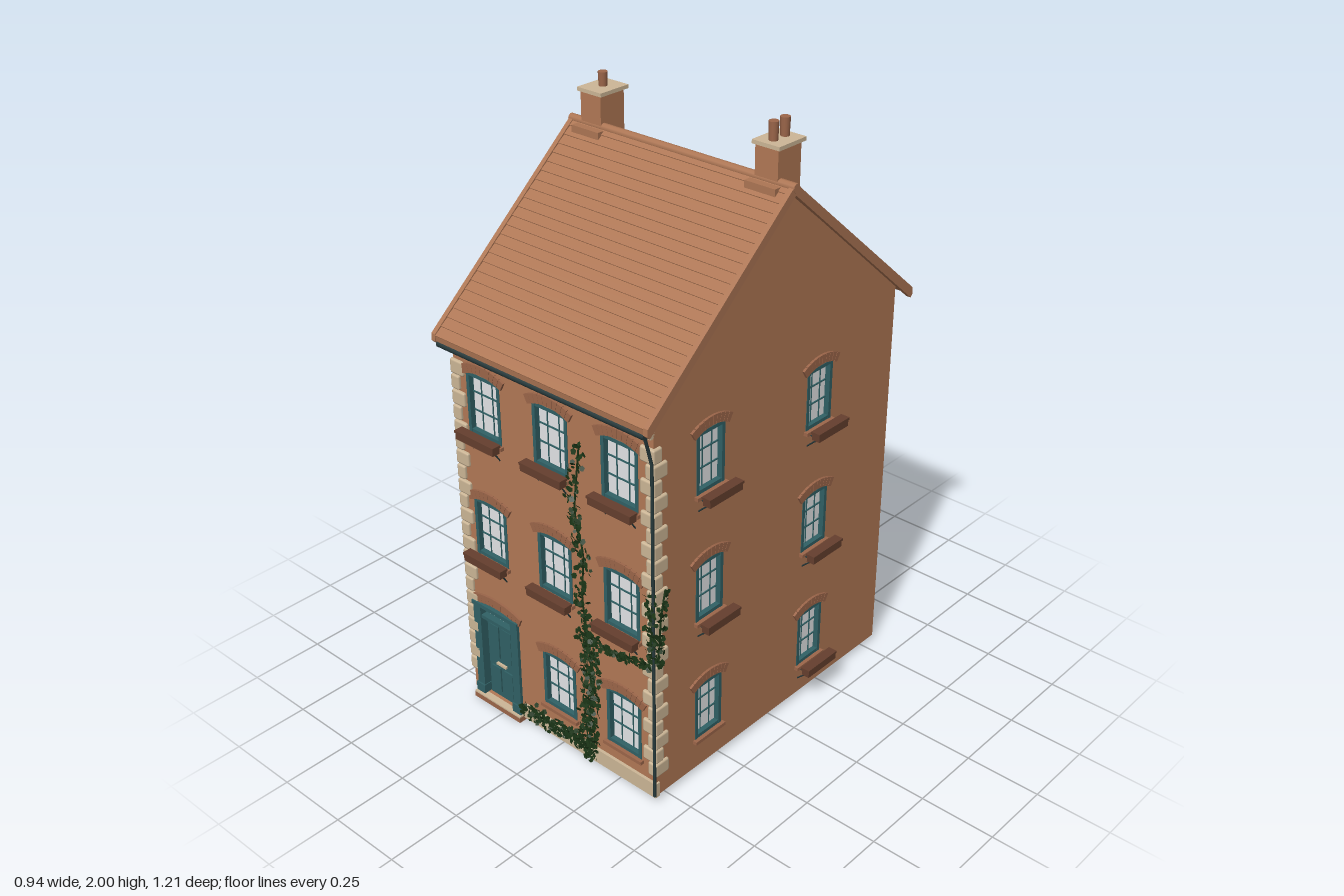
import * as THREE from 'three';
import { mergeGeometries } from 'three/addons/utils/BufferGeometryUtils.js';
import { RoundedBoxGeometry } from 'three/addons/geometries/RoundedBoxGeometry.js';

const paint = (name, color, side = THREE.FrontSide) => {
  const m = new THREE.MeshStandardMaterial({ color, side });
  m.name = name;
  return m;
};
const M = {
  brick: paint('brick', 0xb27855),
  tile: paint('roof tile', 0xad7654),
  arch: paint('arch brick', 0x9c664a),
  stone: paint('cream stone', 0xcdb797),
  teal: paint('teal paint', 0x306165),
  glass: paint('window glass', 0xe4e5e7),
  wood: paint('planter wood', 0x653f2e),
  iron: paint('dark iron', 0x26393b),
  ivy: paint('ivy green', 0x1a3416, THREE.DoubleSide),
};

// House half sizes and heights
const HX = 0.405, HZ = 0.55, WALL = 0.04, BASE = 0.02, EAVE = 1.352, APEX = 1.82;
const ROWS = [0.13, 0.571, 1.009];

function mesh(parent, name, geometry, material) {
  const m = new THREE.Mesh(geometry, material);
  m.name = name;
  parent.add(m);
  return m;
}
// Box from its minimum and maximum corners
function span(parent, name, mat, x0, x1, y0, y1, z0, z1) {
  const m = mesh(parent, name, new THREE.BoxGeometry(x1 - x0, y1 - y0, z1 - z0), mat);
  m.position.set((x0 + x1) / 2, (y0 + y1) / 2, (z0 + z1) / 2);
  return m;
}
const polygon = (pts) => new THREE.Shape(pts.map(([x, y]) => new THREE.Vector2(x, y)));
const hole = (shape, x, y, w, h) => shape.holes.push(new THREE.Path([
  new THREE.Vector2(x - w / 2, y), new THREE.Vector2(x - w / 2, y + h),
  new THREE.Vector2(x + w / 2, y + h), new THREE.Vector2(x + w / 2, y)]));
const extrude = (shape, depth) => new THREE.ExtrudeGeometry(shape, { depth, bevelEnabled: false });
// Extrude a (-z, y) section along x
const extrudeX = (shape, x0, x1) => extrude(shape, x1 - x0).rotateY(Math.PI / 2).translate(x0, 0, 0);

function rod(parent, name, mat, pts, r, sides = 6) {
  const path = new THREE.CatmullRomCurve3(pts.map((p) => new THREE.Vector3(...p)), false, 'catmullrom', 0.2);
  return mesh(parent, name, new THREE.TubeGeometry(path, pts.length * 5, r, sides), mat);
}

// Fan of tapered bricks above an opening
function brickArch(parent, w, y, count) {
  const rise = 0.02, r = (w * w) / (8 * rise) + rise / 2, a = Math.asin(w / 2 / r);
  const parts = [];
  for (let i = 0; i < count; i++) {
    const t = -a + (2 * a * (i + 0.5)) / count;
    const s = (a * r) / count * 0.93, top = s * 1.2;
    parts.push(extrude(polygon([[-s, 0], [s, 0], [top, 0.03], [-top, 0.03]]), 0.016)
      .translate(0, r, -0.008).rotateZ(-t).translate(0, y + rise - r, 0));
  }
  mesh(parent, 'brickArch', mergeGeometries(parts), M.arch);
}

// Planter held off the wall by two iron brackets
function planterBox(parent, w, z) {
  const h = w / 2;
  span(parent, 'planter', M.wood, -h, h, -0.012, 0.016, z, z + 0.028);
  span(parent, 'planterRim', M.wood, -h - 0.003, h + 0.003, 0.009, 0.017, z - 0.002, z + 0.03);
  for (const x of [-h * 0.7, h * 0.7]) {
    rod(parent, 'planterBracket', M.iron, [[x, -0.013, z + 0.02], [x, -0.03, z * 0.8], [x, -0.055, 0]], 0.0025, 5);
    rod(parent, 'planterArm', M.iron, [[x, -0.013, z + 0.024], [x, -0.013, 0]], 0.0025, 5);
  }
}

// Sash window facing +z, origin at the centre of its lower edge on the wall face
function sashWindow(w, h, planterZ) {
  const g = new THREE.Group();
  g.name = 'window';
  const x = w / 2, f = 0.012;
  span(g, 'glass', M.glass, -x, x, 0, h, -0.022, -0.016);
  for (const s of [-1, 1]) {
    span(g, 'frameSide', M.teal, s * (x - f / 2) - f / 2, s * (x - f / 2) + f / 2, 0, h, -0.03, 0.002);
    span(g, 'glazingBar', M.teal, s * w / 6 - 0.0015, s * w / 6 + 0.0015, 0, h, -0.024, -0.013);
  }
  for (const y of [0, h - f]) span(g, 'frameRail', M.teal, -x, x, y, y + f, -0.03, 0.001);
  for (const y of [h * 0.36, h * 0.66]) span(g, 'sashRail', M.teal, -x, x, y - 0.002, y + 0.002, -0.024, -0.012);
  span(g, 'sill', M.arch, -x - 0.008, x + 0.008, -0.012, 0, -0.03, 0.014);
  brickArch(g, w + 0.025, h - 0.012, 10);
  if (planterZ) planterBox(g, w + 0.022, planterZ);
  return g;
}

function buildWalls(house) {
  const front = polygon([[-HX, BASE], [HX, BASE], [HX, EAVE], [-HX, EAVE]]);
  const gable = polygon([[-HZ, BASE], [HZ, BASE], [HZ, EAVE], [0, APEX], [-HZ, EAVE]]);
  ROWS.forEach((y, row) => {
    [-0.28, 0, 0.275].forEach((x, col) => {
      if (row === 0 && col === 0) return;
      hole(front, x, y, 0.142, 0.205);
      const win = sashWindow(0.142, 0.205, row > 0 ? 0.021 : 0);
      win.position.set(x, y, HZ);
      house.add(win);
    });
    for (const z of [0.315, -0.182]) {
      hole(gable, -z, y, 0.12, 0.2);
      for (const s of [-1, 1]) {
        const win = sashWindow(0.12, 0.2, row > 0 || z < 0 ? 0.034 : 0);
        win.position.set(s * HX, y, z);
        win.rotation.y = s * Math.PI / 2;
        house.add(win);
      }
    }
  });
  hole(front, -0.28, BASE + 0.003, 0.2, 0.355);
  mesh(house, 'frontWall', extrude(front, WALL).translate(0, 0, HZ - WALL), M.brick);
  mesh(house, 'leftWall', extrudeX(gable, HX - WALL, HX), M.brick);
  mesh(house, 'rightWall', extrudeX(gable, -HX, WALL - HX), M.brick);
  span(house, 'backWall', M.brick, -HX, HX, BASE, EAVE, -HZ, WALL - HZ);
}

// Plastered rooms seen through the open base
function buildRooms(house) {
  const ix = HX - WALL, iz = HZ - WALL, top = 0.4;
  span(house, 'ceiling', M.stone, -ix, ix, top, top + 0.02, -iz, iz);
  span(house, 'frontLining', M.stone, -ix, ix, BASE, top, iz - 0.004, iz);
  for (const s of [-1, 1])
    span(house, 'sideLining', M.stone, s * ix - 0.004, s * ix + 0.004, BASE + 0.002, top, -0.28, iz);
  span(house, 'hallFloor', M.brick, -ix, ix, BASE, BASE + 0.01, 0.42, iz);
  span(house, 'crossPartition', M.stone, -ix, 0.12, 0.04, top, 0.2, 0.23);
  span(house, 'longPartition', M.stone, -0.03, 0, 0.06, top, -0.12, 0.42);
  span(house, 'leftCloset', M.stone, 0.13, ix, 0.12, top, -0.2, 0.08);
  span(house, 'rightCloset', M.stone, -ix, -0.2, 0.12, top, -0.2, 0.06);
  span(house, 'hallCloset', M.stone, 0.12, ix, 0.1, top, 0.27, 0.42);
  span(house, 'chimneyBreast', M.brick, -0.14, -0.03, 0.05, top, 0.17, 0.2);
}

function buildDoor(house) {
  const g = new THREE.Group();
  g.name = 'frontDoor';
  g.position.set(-0.28, 0, HZ);
  house.add(g);
  span(g, 'doorBacking', M.teal, -0.1, 0.1, 0.023, 0.378, -0.036, -0.022);
  span(g, 'doorLeaf', M.teal, -0.062, 0.062, 0.023, 0.322, -0.022, -0.012);
  for (const s of [-1, 1]) {
    span(g, 'doorPilaster', M.teal, s * 0.085 - 0.016, s * 0.085 + 0.016, 0.02, 0.375, -0.022, 0.01);
    span(g, 'pilasterBase', M.teal, s * 0.085 - 0.019, s * 0.085 + 0.019, 0.02, 0.055, -0.022, 0.015);
    for (const [y0, y1] of [[0.045, 0.14], [0.18, 0.305]])
      span(g, 'doorPanel', M.teal, s * 0.028 - 0.02, s * 0.028 + 0.02, y0, y1, -0.012, -0.007);
  }
  span(g, 'transom', M.teal, -0.1, 0.1, 0.322, 0.334, -0.022, 0.006);
  span(g, 'doorHead', M.teal, -0.104, 0.104, 0.368, 0.382, -0.022, 0.014);
  for (const x of [-0.044, 0, 0.044]) span(g, 'fanlight', M.glass, x - 0.02, x + 0.02, 0.337, 0.365, -0.022, -0.014);
  span(g, 'letterPlate', M.stone, -0.022, 0.022, 0.154, 0.162, -0.012, -0.004);
  span(g, 'doorStep', M.arch, -0.105, 0.108, 0, 0.018, -0.04, 0.024);
  span(g, 'stepTread', M.stone, -0.105, 0.108, 0.018, 0.023, -0.04, 0.024);
  brickArch(g, 0.215, 0.371, 13);
}

function buildRoof(house) {
  // Shallow tile courses, drawn from one eave over the ridge to the other
  const n = 24, slope = [];
  for (let i = 0; i < n; i++) {
    const z = 0.602 * (1 - i / n), y = 1.324 + 0.516 * (i / n);
    slope.push([z, y], [z + 0.001, y + 0.0025]);
  }
  const mirror = (pts) => pts.map(([z, y]) => [-z, y]).reverse();
  const under = [[-0.6, 1.306], [0, 1.815], [0.6, 1.306]];
  const roof = polygon([...under, ...slope, [0, 1.842], ...mirror(slope)]);
  mesh(house, 'tiledRoof', extrudeX(roof, -0.42, 0.42), M.tile);
  const verge = polygon([[-0.605, 1.308], [-0.595, 1.298], [0, 1.812], [0.595, 1.298],
    [0.605, 1.308], [0.603, 1.33], [0, 1.847], [-0.603, 1.33]]);
  for (const s of [-1, 1]) mesh(house, 'roofVerge', extrudeX(verge, s * 0.425 - 0.008, s * 0.425 + 0.008), M.tile);
  for (let i = 0; i < 8; i++) {
    const cap = mesh(house, 'ridgeTile', new THREE.CylinderGeometry(0.014, 0.014, 0.109, 10).rotateZ(Math.PI / 2), M.tile);
    cap.position.set(-0.381 + i * 0.1088, 1.834, 0);
  }
  // Chimneys with stone caps and clay pots
  for (const [x, pots, top] of [[-0.34, [-0.042], 1.988], [0.335, [-0.066, -0.016], 2]]) {
    span(house, 'chimneyStack', M.brick, x - 0.041, x + 0.041, 1.72, 1.932, -0.088, 0.012);
    span(house, 'chimneyFlashing', M.tile, x - 0.055, x + 0.055, 1.8, 1.83, 0.005, 0.04);
    span(house, 'chimneyCap', M.stone, x - 0.049, x + 0.049, 1.932, 1.944, -0.1, 0.018);
    for (const z of pots) {
      const pot = mesh(house, 'chimneyPot', new THREE.CylinderGeometry(0.015, 0.013, top - 1.94, 14), M.arch);
      pot.position.set(x, (top + 1.94) / 2, z);
    }
  }
}

function buildTrim(house) {
  // Alternating corner stones
  for (const s of [-1, 1]) for (let i = 0; i < 22; i++) {
    const long = i % 2, w = long ? 0.056 : 0.036, d = long ? 0.038 : 0.06;
    const q = mesh(house, 'cornerStone', new RoundedBoxGeometry(w, 0.049, d, 1, 0.007), M.stone);
    q.position.set(s * (HX + 0.009 - w / 2), 0.122 + i * 0.052, HZ + 0.01 - d / 2);
  }
  span(house, 'plinth', M.stone, -0.165, HX + 0.006, BASE, 0.072, HZ - 0.01, HZ + 0.01);
  span(house, 'cornice', M.stone, -HX, HX, 1.27, 1.288, HZ - 0.01, HZ + 0.012);
  const gutter = mesh(house, 'gutter', new THREE.CylinderGeometry(0.012, 0.012, 0.83, 10).rotateZ(Math.PI / 2), M.iron);
  gutter.position.set(0, 1.298, 0.592);
  rod(house, 'drainpipe', M.iron, [[0.408, 1.295, 0.59], [0.408, 1.265, 0.585], [0.41, 1.22, 0.566],
    [0.41, 1.1, 0.563], [0.41, 0.03, 0.563]], 0.005, 8);
}

// Climbing ivy: each run is a stem with leaves scattered round it
function buildIvy(house) {
  let seed = 7;
  const rnd = () => (seed = (seed * 16807) % 2147483647) / 2147483647;
  const off = () => rnd() + rnd() - 1;
  const runs = [
    [[[-0.14, 0.08, 0.565], [-0.06, 0.065, 0.565], [0.06, 0.075, 0.565], [0.15, 0.08, 0.565]], 0.055, 230],
    [[[0.13, 0.03, 0.56], [0.14, 0.2, 0.56], [0.15, 0.36, 0.56], [0.14, 0.5, 0.56]], 0.048, 340],
    [[[0.14, 0.48, 0.56], [0.12, 0.62, 0.56], [0.13, 0.78, 0.56], [0.1, 0.92, 0.56], [0.125, 1.14, 0.56]], 0.04, 190],
    [[[0.14, 0.49, 0.56], [0.24, 0.485, 0.56], [0.32, 0.5, 0.56], [0.39, 0.51, 0.562]], 0.026, 90],
    [[[0.39, 0.51, 0.562], [0.41, 0.6, 0.562], [0.4, 0.68, 0.562], [0.41, 0.78, 0.56]], 0.03, 85],
    [[[0.418, 0.52, 0.555], [0.418, 0.6, 0.545], [0.418, 0.68, 0.54], [0.418, 0.77, 0.52]], 0.03, 50],
  ];
  const leaves = [], p = new THREE.Vector3();
  for (const [pts, spread, count] of runs) {
    rod(house, 'ivyStem', M.ivy, pts, 0.003, 5);
    const path = new THREE.CatmullRomCurve3(pts.map((q) => new THREE.Vector3(...q)));
    const onSide = pts[1][2] < 0.55;
    for (let i = 0; i < count; i++) {
      path.getPoint(rnd(), p);
      const leaf = new THREE.CircleGeometry(0.006 + rnd() * 0.005, 5);
      leaf.rotateZ(rnd() * 6).rotateX(off() * 0.9).rotateY(off() * 0.9 + (onSide ? Math.PI / 2 : 0));
      const a = off() * spread, out = rnd() * 0.012;
      leaf.translate(p.x + (onSide ? out : a), p.y + off() * spread * 0.7, p.z + (onSide ? a * 0.6 : out));
      leaves.push(leaf);
    }
  }
  mesh(house, 'ivyLeaves', mergeGeometries(leaves), M.ivy);
}

export function createModel() {
  const house = new THREE.Group();
  house.name = 'townHouse';
  for (const build of [buildWalls, buildRooms, buildDoor, buildRoof, buildTrim, buildIvy]) build(house);
  return house;
}
